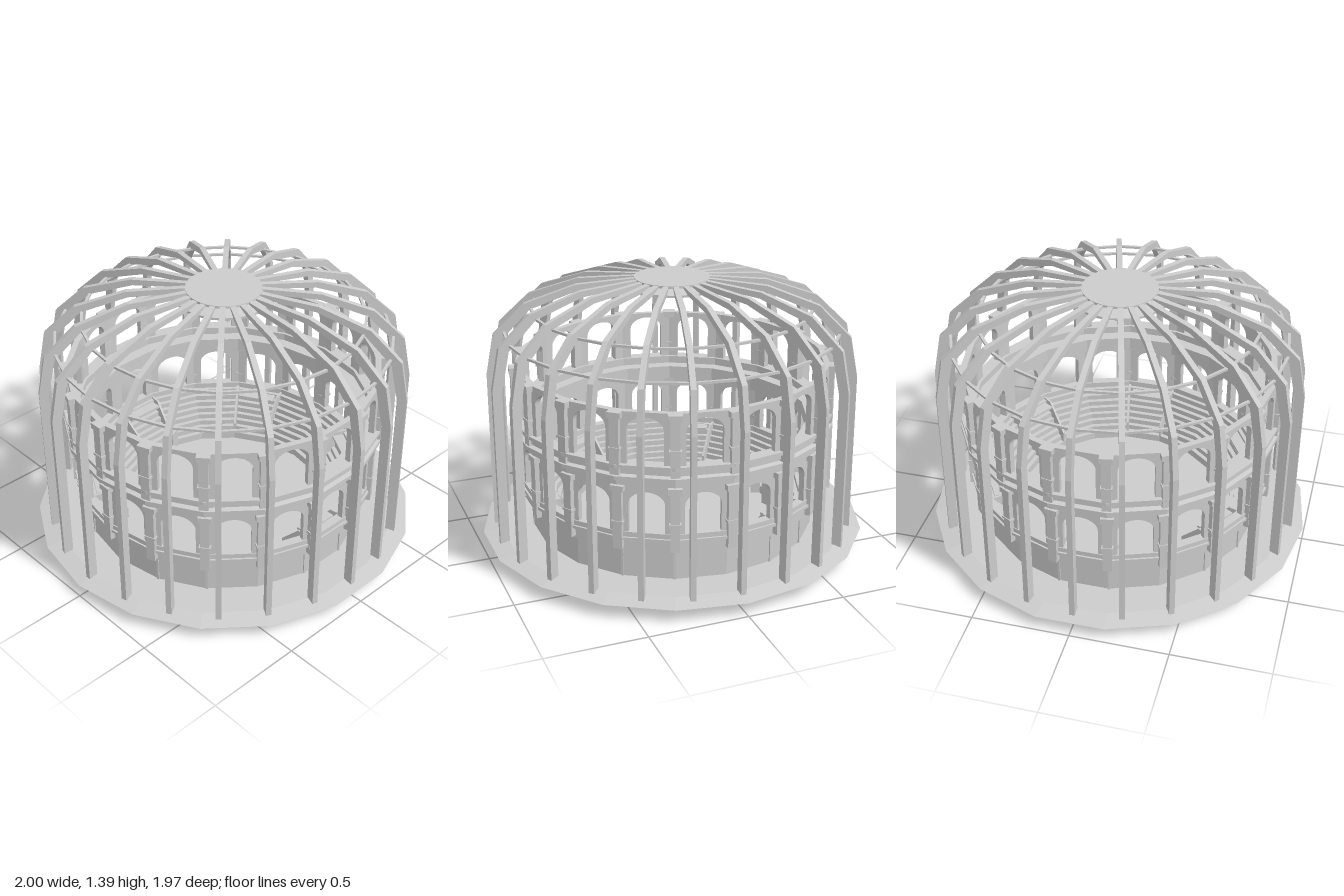
import * as THREE from 'three';

const SIDES = 18, STEP = (Math.PI * 2) / SIDES;
const mat = new THREE.MeshStandardMaterial({ color: 0xcccccc, flatShading: true, side: THREE.DoubleSide });
const V = (a) => a.map(([x, y]) => new THREE.Vector2(x, y));

function add(parent, name, geo) {
  const m = new THREE.Mesh(geo, mat);
  m.name = name;
  parent.add(m);
  return m;
}

// Faceted ring from a radius/height profile, one facet facing +z
function ring(parent, name, profile, sides = SIDES, start = STEP / 2) {
  return add(parent, name, new THREE.LatheGeometry(V(profile), sides, start));
}

// Closed band with a rectangular section
function band(parent, name, r0, r1, y0, y1, sides, start) {
  return ring(parent, name, [[r0, y0], [r1, y0], [r1, y1], [r0, y1], [r0, y0]], sides, start);
}

// Flat piece drawn in the radius/height plane, centred on its thickness
function radialSlab(points, thickness) {
  const g = new THREE.ExtrudeGeometry(new THREE.Shape(V(points)), { depth: thickness, bevelEnabled: false });
  return g.translate(0, 0, -thickness / 2);
}

// One wall panel with a flattened arch opening
function archPanel(radius, y0, y1, sill, spring, crown) {
  const half = radius * Math.sin(STEP / 2), w = 0.088, depth = 0.03;
  const s = new THREE.Shape(V([[-half, y0], [half, y0], [half, y1], [-half, y1]]));
  const hole = new THREE.Path();
  hole.moveTo(-w, sill);
  hole.lineTo(w, sill);
  hole.lineTo(w, spring);
  hole.absellipse(0, spring, w, crown - spring, 0, Math.PI, false);
  hole.lineTo(-w, sill);
  s.holes.push(hole);
  const g = new THREE.ExtrudeGeometry(s, { depth, bevelEnabled: false, curveSegments: 10 });
  return g.translate(0, 0, radius * Math.cos(STEP / 2) - depth);
}

// Storey of arched bays with a pilaster on every corner
function arcade(name, radius, y0, y1, sill, spring, crown, pilasterBottom, pilasterTop, neck) {
  const g = new THREE.Group();
  g.name = name;
  const panel = archPanel(radius, y0, y1, sill, spring, crown);
  const h = pilasterTop - pilasterBottom;
  const shaft = new THREE.BoxGeometry(0.046, h, 0.05).translate(0, pilasterBottom + h / 2, radius - 0.005);
  const capital = new THREE.BoxGeometry(0.066, 0.03, 0.062).translate(0, pilasterTop - 0.015, radius - 0.005);
  const collar = new THREE.BoxGeometry(0.058, 0.012, 0.058).translate(0, neck, radius - 0.005);
  for (let i = 0; i < SIDES; i++) {
    add(g, 'archedBay', panel).rotation.y = i * STEP;
    for (const [n, geo] of [['pilaster', shaft], ['pilasterCapital', capital], ['pilasterCollar', collar]])
      add(g, n, geo).rotation.y = (i + 0.5) * STEP;
  }
  return g;
}

export function createModel() {
  const model = new THREE.Group();
  model.name = 'domedArena';

  // Dish-shaped base and drum
  ring(model, 'base', [[0, 0], [0.75, 0], [1, 0.07], [0.91, 0.09], [0, 0.09]]);
  band(model, 'drumWall', 0.7, 0.735, 0.09, 0.27);

  // Stepped seating around the arena floor
  const tiers = [], count = 7;
  for (let i = 0; i < count; i++) {
    const r = 0.55 + (i * 0.17) / count, y = 0.13 + i * 0.027;
    tiers.push([r, i ? y - 0.027 : 0.09], [r, y]);
  }
  tiers.push([0.76, tiers[tiers.length - 1][1]]);
  ring(model, 'seatingTiers', tiers.reverse());

  // Six entrance bays cut across the seating by sloping side walls
  const cheek = radialSlab([[0.55, 0.09], [0.74, 0.09], [0.74, 0.33], [0.68, 0.33], [0.55, 0.19]], 0.012);
  const landing = new THREE.BoxGeometry(0.2, 0.012, 0.06).translate(0, 0.315, 0.67);
  for (let i = 0; i < 6; i++) {
    const bay = new THREE.Group();
    bay.name = 'entranceBay';
    bay.rotation.y = (i * Math.PI) / 3;
    for (const s of [-1, 1]) add(bay, 'entranceSideWall', cheek).rotation.y = -Math.PI / 2 + (s * STEP) / 2;
    add(bay, 'entranceLintel', landing);
    model.add(bay);
  }

  // Pair of small blocks on the floor at the back
  for (const s of [-1, 1]) {
    const b = add(model, 'floorBlock', new THREE.BoxGeometry(0.065, 0.12, 0.05));
    b.position.set(s * 0.09, 0.15, -0.53);
    b.rotation.y = s * 0.4;
  }

  // Plinth, storeys and entablature
  band(model, 'plinth', 0.72, 0.775, 0.25, 0.32);
  band(model, 'plinthMoulding', 0.74, 0.795, 0.31, 0.325);
  band(model, 'plinthCap', 0.74, 0.785, 0.325, 0.35);
  model.add(arcade('lowerArcade', 0.78, 0.32, 0.61, 0.345, 0.495, 0.56, 0.265, 0.595, 0.405));
  ring(model, 'entablature', [[0.7, 0.6], [0.8, 0.6], [0.8, 0.625], [0.83, 0.635], [0.83, 0.655],
    [0.805, 0.66], [0.805, 0.67], [0.7, 0.67], [0.7, 0.6]]);
  band(model, 'upperSill', 0.765, 0.815, 0.67, 0.695);
  band(model, 'upperSillCap', 0.76, 0.828, 0.695, 0.712);
  model.add(arcade('upperArcade', 0.805, 0.67, 0.97, 0.71, 0.88, 0.945, 0.66, 0.97, 0.79));

  // Cage of curved ribs
  const rib = radialSlab([[0.94, 0.08], [0.94, 0.91], [0.9, 1.12], [0.74, 1.275], [0.48, 1.365], [0.19, 1.39],
    [0.19, 1.365], [0.47, 1.335], [0.71, 1.245], [0.85, 1.1], [0.892, 0.9], [0.892, 0.08]], 0.028);
  for (let i = 0; i < 24; i++) add(model, 'domeRib', rib).rotation.y = (i * Math.PI) / 12;

  // Thin hoops tying the ribs together
  band(model, 'lowerHoop', 0.838, 0.852, 1.124, 1.136, 24, 0);
  band(model, 'upperHoop', 0.698, 0.712, 1.24, 1.252, 24, 0);

  // Crown disc with sloping collar
  ring(model, 'crownCollar', [[0.19, 1.35], [0.25, 1.35], [0.25, 1.362], [0.19, 1.38]], 24, 0);
  add(model, 'crownDisc', new THREE.CylinderGeometry(0.19, 0.19, 0.035, 32)).position.y = 1.3745;

  return model;
}
